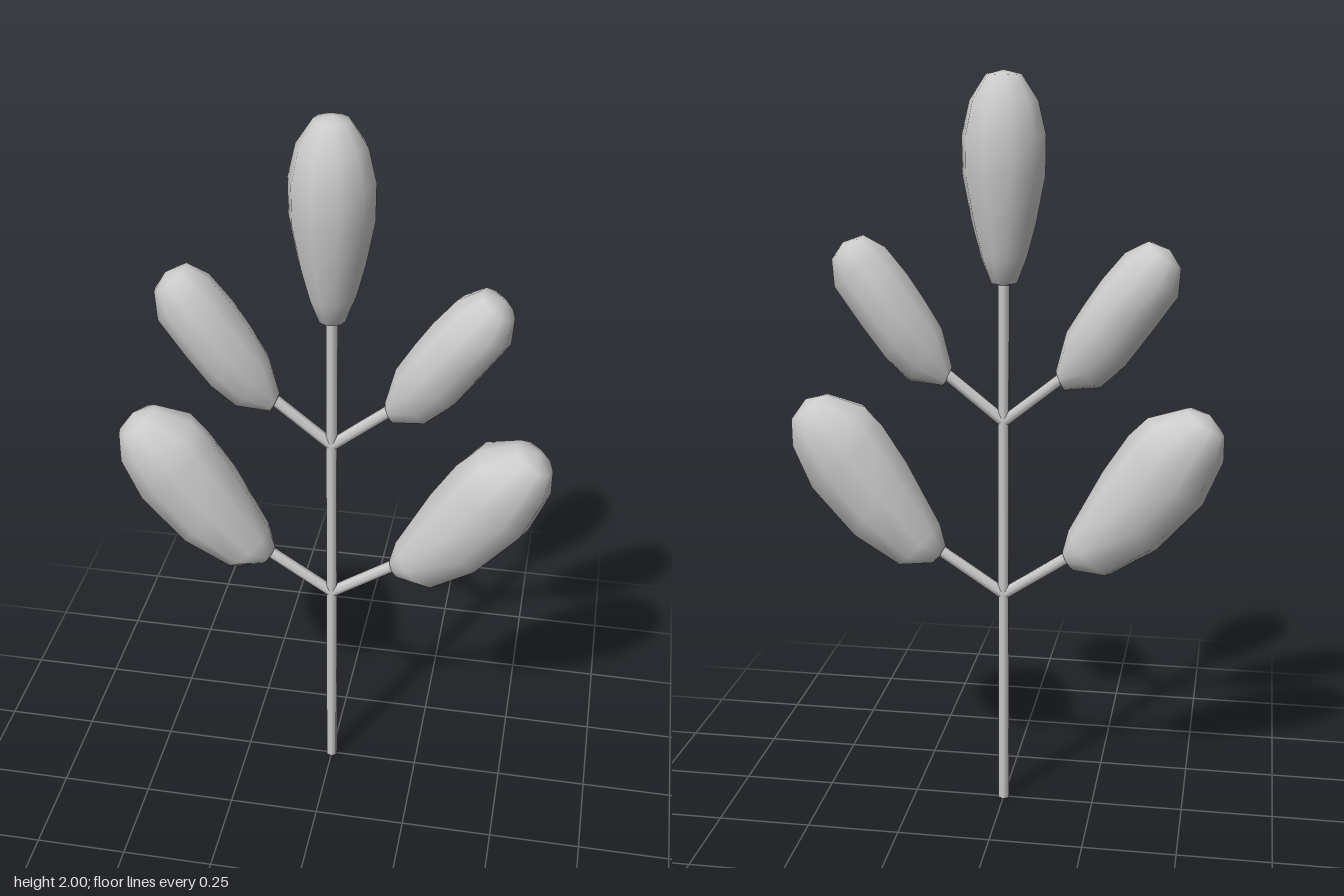
import * as THREE from 'three';

const material = new THREE.MeshStandardMaterial({ color: 0xcccccc });
const SIDES = 10;

// Leaf lofted along its length. Each ring is [ax, ay, bx, by, depth]:
// the two outline points it spans and its half depth in z.
function leafGeometry(base, rings, tip) {
  const pos = [base[0], base[1], 0];
  const index = [];
  for (const [ax, ay, bx, by, d] of rings) {
    for (let j = 0; j < SIDES; j++) {
      const t = (j / SIDES) * Math.PI * 2;
      const k = (1 + Math.cos(t)) / 2;
      pos.push(ax + (bx - ax) * k, ay + (by - ay) * k, (Math.sin(t) * d) / 0.951);
    }
  }
  pos.push(tip[0], tip[1], 0);
  const last = pos.length / 3 - 1;
  const at = (i, j) => 1 + i * SIDES + (j % SIDES);
  for (let j = 0; j < SIDES; j++) {
    index.push(0, at(0, j), at(0, j + 1));
    for (let i = 0; i < rings.length - 1; i++) {
      index.push(at(i, j), at(i + 1, j), at(i, j + 1));
      index.push(at(i, j + 1), at(i + 1, j), at(i + 1, j + 1));
    }
    index.push(at(rings.length - 1, j), last, at(rings.length - 1, j + 1));
  }
  const g = new THREE.BufferGeometry();
  g.setAttribute('position', new THREE.Float32BufferAttribute(pos, 3));
  g.setIndex(index);
  g.computeVertexNormals();
  return g;
}

// Thin six-sided rod between two points in the z = 0 plane
function rod(name, x0, y0, x1, y1, r) {
  const a = new THREE.Vector3(x0, y0, 0);
  const dir = new THREE.Vector3(x1, y1, 0).sub(a);
  const mesh = new THREE.Mesh(new THREE.CylinderGeometry(r, r, dir.length(), 6), material);
  mesh.position.copy(a).addScaledVector(dir, 0.5);
  mesh.quaternion.setFromUnitVectors(new THREE.Vector3(0, 1, 0), dir.normalize());
  mesh.name = name;
  return mesh;
}

const pairs = [
  {
    name: 'lower', from: [0, 0.61], base: [0.172, 0.712], tip: [0.54, 1.135],
    rings: [
      [0.16, 0.74, 0.195, 0.69, 0.03],
      [0.175, 0.8, 0.29, 0.683, 0.072],
      [0.265, 0.97, 0.41, 0.757, 0.106],
      [0.33, 1.07, 0.53, 0.89, 0.108],
      [0.38, 1.12, 0.58, 1.01, 0.106],
      [0.48, 1.15, 0.58, 1.08, 0.06],
    ],
  },
  {
    name: 'upper', from: [0, 1.095], base: [0.148, 1.205], tip: [0.425, 1.56],
    rings: [
      [0.138, 1.238, 0.164, 1.185, 0.024],
      [0.164, 1.34, 0.254, 1.196, 0.06],
      [0.21, 1.415, 0.317, 1.254, 0.08],
      [0.254, 1.48, 0.38, 1.34, 0.088],
      [0.312, 1.55, 0.45, 1.44, 0.084],
      [0.37, 1.58, 0.455, 1.513, 0.055],
    ],
  },
];

// Half width of the top leaf at each height
const topProfile = [
  [0.035, 1.465], [0.06, 1.53], [0.084, 1.62], [0.107, 1.74],
  [0.108, 1.84], [0.088, 1.925], [0.045, 1.99],
];

export function createModel() {
  const group = new THREE.Group();
  group.name = 'leafySprig';

  // Main stem
  group.add(rod('stem', 0, 0, 0, 1.48, 0.016));

  // Top leaf
  const topRings = topProfile.map(([r, y]) => [-r, y, r, y, r * 0.9]);
  const top = new THREE.Mesh(leafGeometry([0, 1.455], topRings, [0, 2]), material);
  top.name = 'topLeaf';
  group.add(top);

  // Mirrored branches and leaves; swapping the outline sides keeps faces outward
  for (const p of pairs) {
    for (const s of [1, -1]) {
      const side = s > 0 ? 'Left' : 'Right';
      const rings = p.rings.map(([ax, ay, bx, by, d]) =>
        s > 0 ? [ax, ay, bx, by, d] : [-bx, by, -ax, ay, d]);
      const leaf = new THREE.Mesh(
        leafGeometry([s * p.base[0], p.base[1]], rings, [s * p.tip[0], p.tip[1]]), material);
      leaf.name = p.name + side + 'Leaf';
      group.add(leaf);
      group.add(rod(p.name + side + 'Branch', p.from[0], p.from[1],
        s * (p.base[0] + 0.02), p.base[1] + 0.025, 0.016));
    }
  }
  return group;
}
